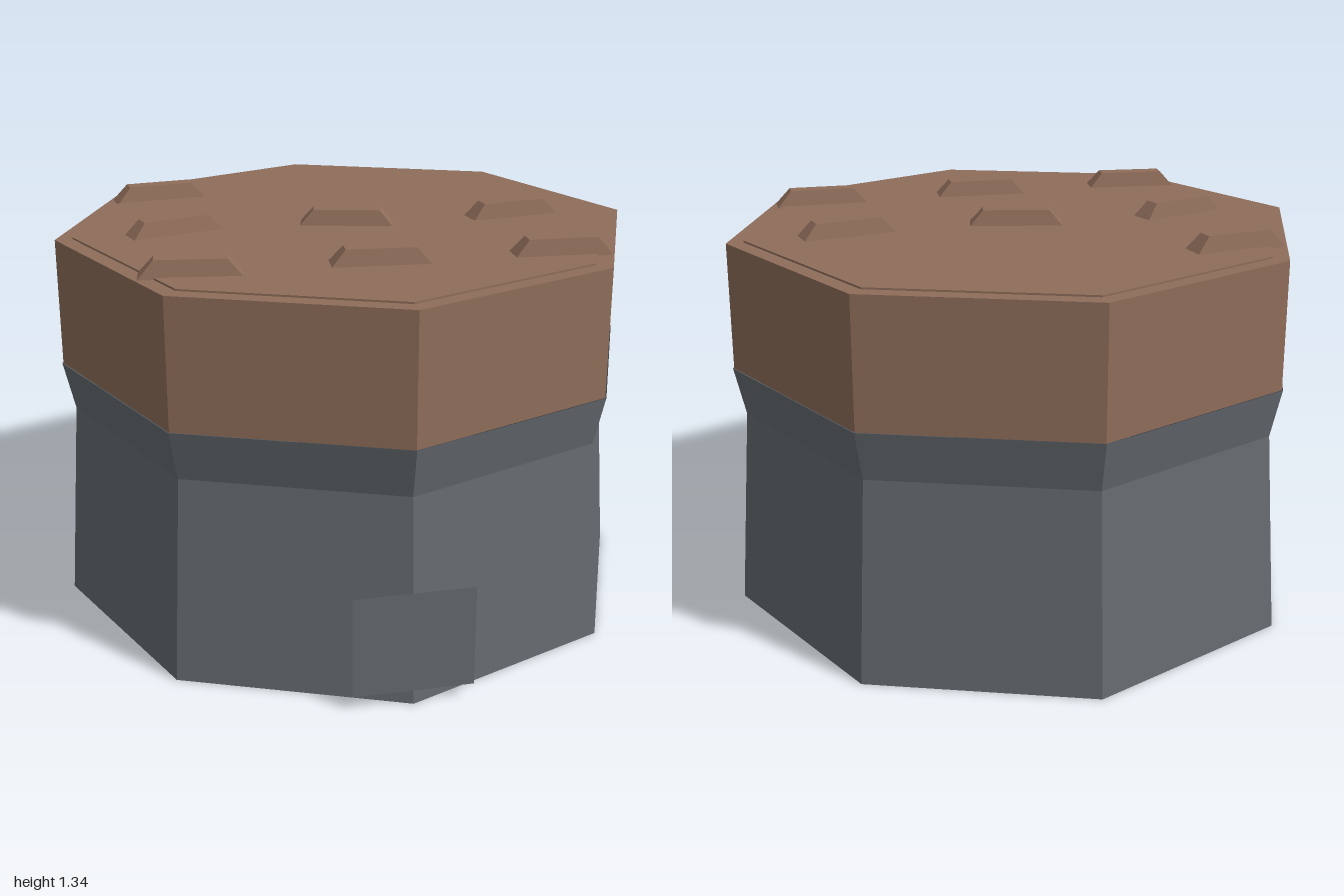
import * as THREE from 'three';

const stone = new THREE.MeshStandardMaterial({ color: 0x666b70, flatShading: true, side: THREE.DoubleSide });
const wood = new THREE.MeshStandardMaterial({ color: 0x8f6d5a, flatShading: true });

function add(group, name, geometry, material, x = 0, y = 0, z = 0) {
  const mesh = new THREE.Mesh(geometry, material);
  mesh.name = name;
  mesh.position.set(x, y, z);
  group.add(mesh);
  return mesh;
}

// Box standing on y = 0 whose top is drawn in along its length and width
function bevelledBlock(length, height, width, topLength, topWidth) {
  const geometry = new THREE.BoxGeometry(length, height, width).translate(0, height / 2, 0);
  const p = geometry.attributes.position;
  for (let i = 0; i < p.count; i++) {
    if (p.getY(i) > height / 2) {
      p.setX(i, p.getX(i) * topLength / length);
      p.setZ(i, p.getZ(i) * topWidth / width);
    }
  }
  geometry.computeVertexNormals();
  return geometry;
}

export function createModel() {
  const model = new THREE.Group();
  model.name = 'octagonalTower';

  // Hollow stone base, open below, with a waist under the flared top edge
  const profile = [[1, 0], [0.95, 0.685], [0.987, 0.85]].map(([r, y]) => new THREE.Vector2(r, y));
  add(model, 'stoneWall', new THREE.LatheGeometry(profile, 8), stone);

  // Flat door panel across the front corner
  add(model, 'door', new THREE.PlaneGeometry(0.39, 0.34), stone, 0, 0.215, 0.995);

  // Solid wooden upper storey and its slightly raised roof
  add(model, 'upperStorey', new THREE.CylinderGeometry(0.983, 0.983, 0.43, 8), wood, 0, 1.065, 0);
  add(model, 'roofDeck', new THREE.CylinderGeometry(0.925, 0.925, 0.016, 8), wood, 0, 1.278, 0);

  // Bevelled shingles scattered over the roof: x, z, turn in degrees
  const shingle = bevelledBlock(0.33, 0.06, 0.09, 0.225, 0.055);
  const shingles = new THREE.Group();
  shingles.name = 'shingles';
  [
    [-0.59, -0.505, 8], [-0.59, 0, 17], [0, 0, -14], [0.585, 0, 9],
    [-0.59, 0.5, -7], [0, 0.5, -4], [0.59, 0.505, -2],
  ].forEach(([x, z, turn]) => {
    add(shingles, 'shingle', shingle, wood, x, 1.277, z).rotation.y = THREE.MathUtils.degToRad(turn);
  });
  model.add(shingles);

  return model;
}
